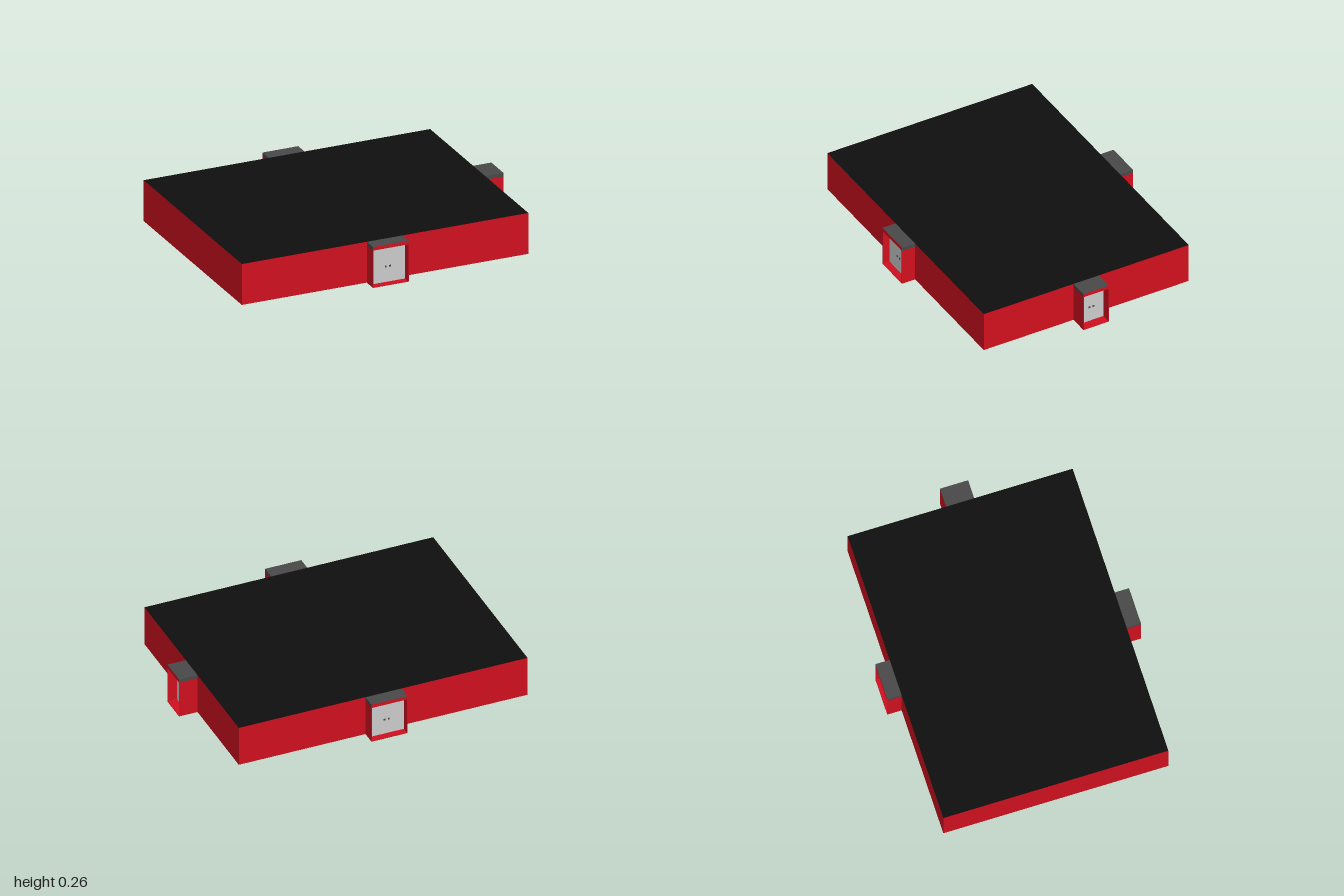
import * as THREE from 'three';

const mat = (color) => new THREE.MeshStandardMaterial({ color });
const red = mat(0xd0101f);
const black = mat(0x0f0f0f);
const roofGrey = mat(0x484848);
const doorGrey = mat(0xcccccc);
const handleGrey = mat(0x444444);

const HEIGHT = 0.265;

// Box from its lower and upper corners
function box(parent, name, material, [x0, y0, z0], [x1, y1, z1]) {
  const mesh = new THREE.Mesh(new THREE.BoxGeometry(x1 - x0, y1 - y0, z1 - z0), material);
  mesh.position.set((x0 + x1) / 2, (y0 + y1) / 2, (z0 + z1) / 2);
  mesh.name = name;
  parent.add(mesh);
  return mesh;
}

// Porch with a recessed door; wall at z = 0, opening towards +z
function porch(name, width, depth) {
  const g = new THREE.Group();
  g.name = name;
  const w = width / 2, t = 0.004, lintel = 0.242, doorZ = depth * 0.5;

  // Roof slab: grey on top and sides, red on its front and underside
  box(g, 'porchRoof', [roofGrey, roofGrey, roofGrey, red, red, red],
    [-w, lintel, 0], [w, HEIGHT, depth]);
  box(g, 'porchFloor', red, [-w, 0, 0], [w, t, depth]);
  for (const s of [-1, 1]) {
    const a = s * w, b = s * (w - t);
    box(g, 'porchSideWall', red, [Math.min(a, b), t, 0], [Math.max(a, b), lintel, depth]);
  }

  // Door panel and its pair of handles
  box(g, 'door', doorGrey, [-w + t, t, 0], [w - t, lintel, doorZ]);
  for (const s of [-1, 1]) {
    const x = s * 0.014;
    box(g, 'doorHandle', handleGrey,
      [x - 0.005, 0.1, doorZ], [x + 0.005, 0.11, doorZ + 0.004]);
  }
  return g;
}

export function createModel() {
  const model = new THREE.Group();
  model.name = 'building';

  // Main block with a black flat roof and a grey base
  box(model, 'mainBlock', [red, red, black, roofGrey, red, red],
    [-1, 0, -0.705], [0.88, HEIGHT, 0.705]);

  // Entrances on the front, back and one end
  const entrances = [
    ['frontPorch', 0.235, 0.09, -0.0625, 0.705, 0],
    ['backPorch', 0.235, 0.09, -0.0625, -0.705, Math.PI],
    ['sidePorch', 0.176, 0.12, 0.88, 0, Math.PI / 2],
  ];
  for (const [name, width, depth, x, z, turn] of entrances) {
    const p = porch(name, width, depth);
    p.position.set(x, 0, z);
    p.rotation.y = turn;
    model.add(p);
  }
  return model;
}
